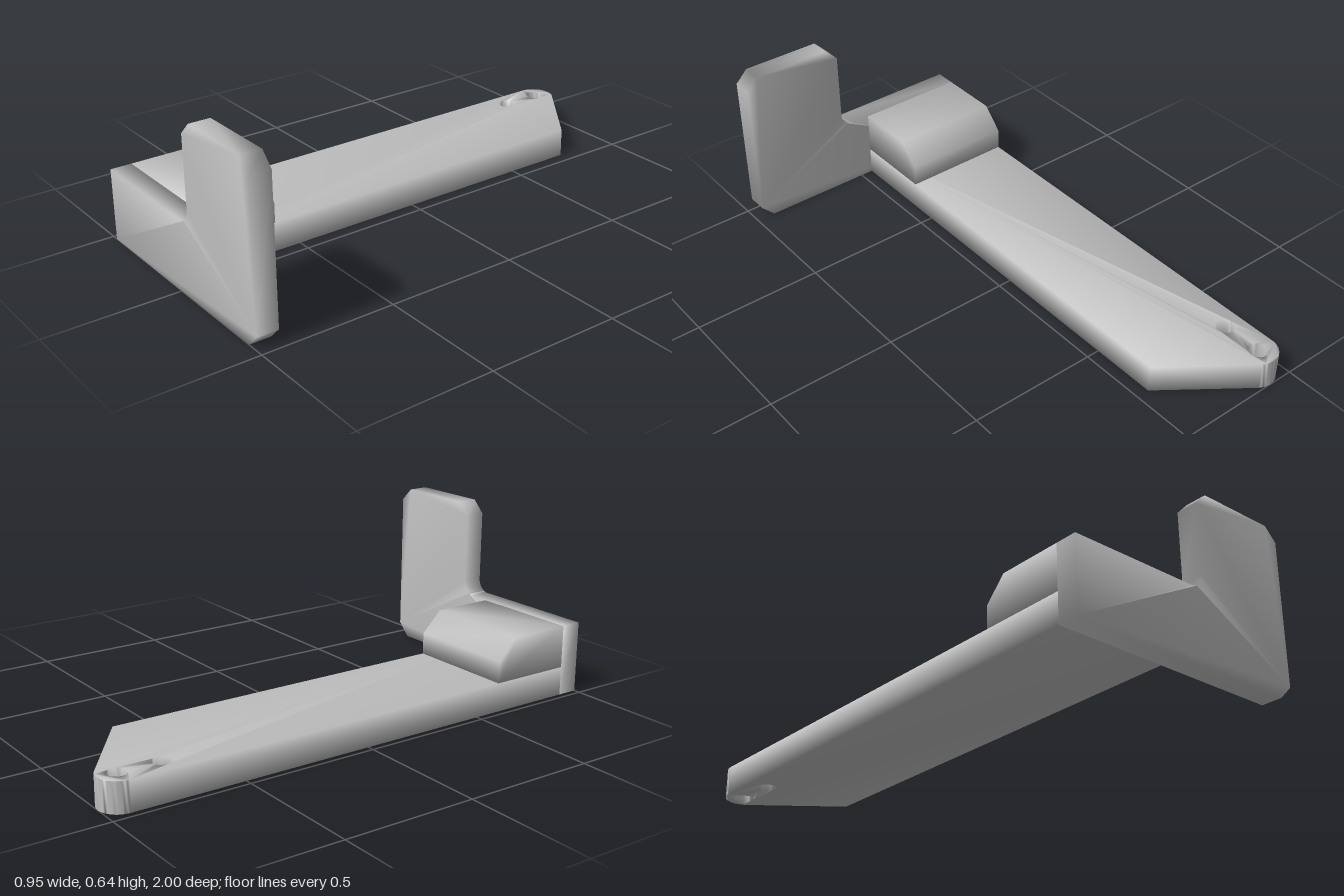
import * as THREE from 'three';
import { mergeVertices } from 'three/addons/utils/BufferGeometryUtils.js';

const LEFT = -0.475, ARM_RIGHT = -0.05;   // x limits of arm and block
const PLATE_BACK = 0.92, ARM_TOP = 0.11;

// Extrude an outline and share its vertices so the shading is smooth throughout
function smoothExtrude(shape, depth, curveSegments = 10) {
  const geo = new THREE.ExtrudeGeometry(shape, { depth, bevelEnabled: false, curveSegments });
  geo.deleteAttribute('uv');
  geo.deleteAttribute('normal');
  const merged = mergeVertices(geo, 1e-4);
  merged.computeVertexNormals();
  return merged;
}

const polygon = (points) => new THREE.Shape(points.map(([x, y]) => new THREE.Vector2(x, y)));

export function createModel() {
  const model = new THREE.Group();
  model.name = 'bracket';
  const grey = new THREE.MeshStandardMaterial({ color: 0xbfbfbf });
  grey.name = 'plain grey';

  const add = (name, geometry) => {
    const mesh = new THREE.Mesh(geometry, grey);
    mesh.name = name;
    model.add(mesh);
  };

  // L-shaped front plate with clipped corners and a rounded inner corner
  const plate = polygon([
    [LEFT, 0], [0.425, 0], [0.475, 0.05], [0.475, 0.592], [0.427, 0.64],
    [0.123, 0.64], [0.075, 0.592], [0.075, 0.322],
  ]);
  plate.absarc(0.025, 0.322, 0.05, 0, -Math.PI / 2, true);
  plate.lineTo(LEFT, 0.272);
  plate.closePath();
  add('frontPlate', smoothExtrude(plate, 1 - PLATE_BACK).translate(0, 0, PLATE_BACK));

  // Flat arm, drawn in plan (shape y = -z), with a rounded tip and two screw holes
  const arm = polygon([[LEFT, -PLATE_BACK], [ARM_RIGHT, -PLATE_BACK], [ARM_RIGHT, 0.757]]);
  arm.absarc(-0.4, 0.925, 0.075, Math.PI * 0.31, Math.PI, false);
  arm.closePath();
  for (const y of [0.93, 0.77]) {
    arm.holes.push(new THREE.Path().absarc(-0.4, y, 0.035, 0, Math.PI * 2, true));
  }
  add('arm', smoothExtrude(arm, ARM_TOP).rotateX(-Math.PI / 2));

  // Stiffening block behind the plate, side profile (z, y) with a chamfered back edge
  const block = polygon([
    [0.6, ARM_TOP], [PLATE_BACK, ARM_TOP], [PLATE_BACK, 0.272], [0.68, 0.272], [0.6, 0.192],
  ]);
  add('block', smoothExtrude(block, ARM_RIGHT - LEFT).rotateY(-Math.PI / 2).translate(ARM_RIGHT, 0, 0));

  return model;
}
